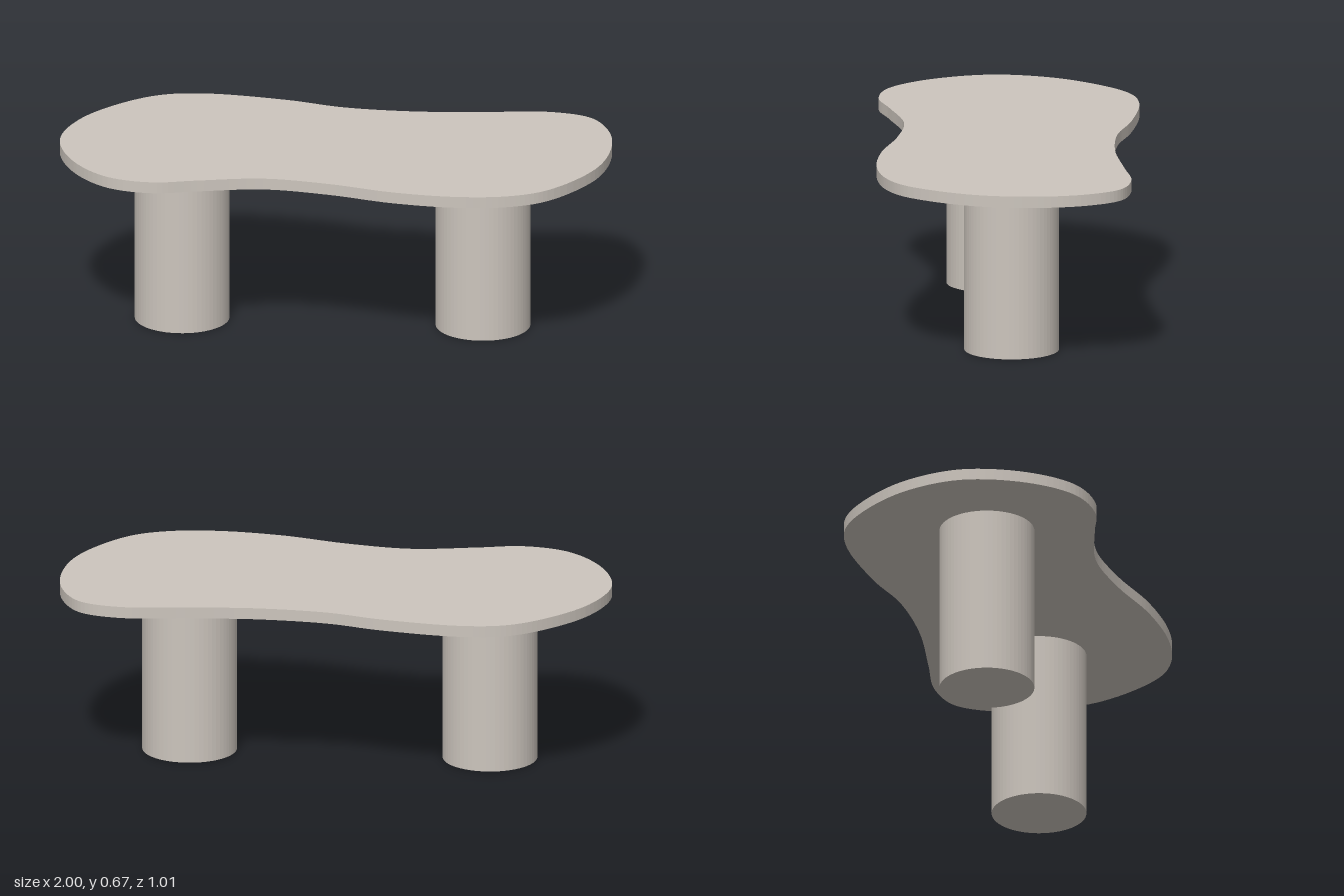
import * as THREE from 'three';

const LEG_HEIGHT = 0.628;
const TOP_THICKNESS = 0.042;

// Extrudes a plan outline (x, z) upwards from the given height
function slab(plan, base, height, material, name) {
  const shape = new THREE.Shape(plan.map(([x, z]) => new THREE.Vector2(x, -z)));
  const geometry = new THREE.ExtrudeGeometry(shape, { depth: height, bevelEnabled: false });
  geometry.rotateX(-Math.PI / 2);
  geometry.translate(0, base, 0);
  const mesh = new THREE.Mesh(geometry, material);
  mesh.name = name;
  return mesh;
}

export function createModel() {
  const stone = new THREE.MeshStandardMaterial({ color: 0xccc5bd });
  stone.name = 'warm grey stone';
  const table = new THREE.Group();
  table.name = 'coffeeTable';

  // Free-form top: smooth closed curve through plan points (x, z)
  const outline = [
    [-1, 0], [-0.94, -0.215], [-0.8, -0.39], [-0.66, -0.485], [-0.5, -0.508], [-0.2, -0.46],
    [0, -0.4], [0.27, -0.375], [0.55, -0.392], [0.755, -0.405], [0.9, -0.357], [0.975, -0.23],
    [1, -0.05], [0.957, 0.18], [0.8, 0.41], [0.67, 0.48], [0.487, 0.503], [0.246, 0.473],
    [0, 0.4], [-0.235, 0.362], [-0.476, 0.4], [-0.636, 0.43], [-0.8, 0.385], [-0.935, 0.23],
  ].map(([x, z]) => new THREE.Vector3(x, 0, z));
  const curve = new THREE.CatmullRomCurve3(outline, true);
  const plan = curve.getPoints(192).slice(0, -1).map((p) => [p.x, p.z]);
  table.add(slab(plan, LEG_HEIGHT, TOP_THICKNESS, stone, 'tableTop'));

  // Two round column legs with fine facets
  for (const [x, name] of [[-0.555, 'rightLeg'], [0.538, 'leftLeg']]) {
    const circle = Array.from({ length: 64 }, (_, i) => {
      const a = (i / 64) * Math.PI * 2;
      return [x + 0.172 * Math.cos(a), 0.017 + 0.172 * Math.sin(a)];
    });
    table.add(slab(circle, 0, LEG_HEIGHT, stone, name));
  }
  return table;
}
